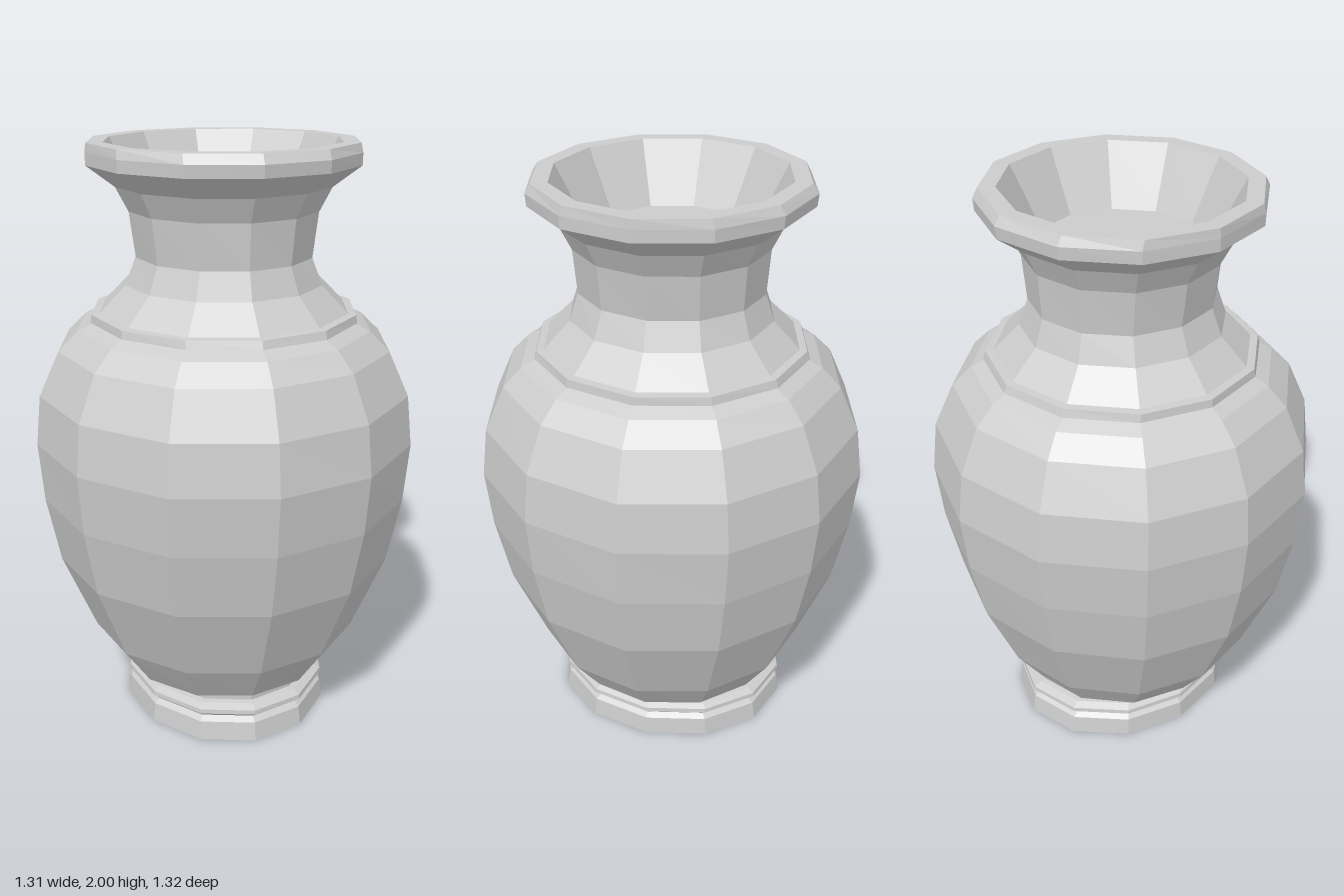
import * as THREE from 'three';

const SIDES = 12;

// Faceted ring stack: each row is [x radius, z radius, height], listed so faces point outward.
function ringStack(name, rows, material) {
  const lathe = new THREE.LatheGeometry(rows.map(([rx, , y]) => new THREE.Vector2(rx, y)), SIDES);
  const pos = lathe.attributes.position;
  for (let i = 0; i < pos.count; i++) {
    const [rx, rz] = rows[i % rows.length];
    if (rx > 0) pos.setZ(i, pos.getZ(i) * rz / rx);
  }
  const geometry = lathe.toNonIndexed();
  geometry.computeVertexNormals();
  const mesh = new THREE.Mesh(geometry, material);
  mesh.name = name;
  return mesh;
}

export function createModel() {
  const group = new THREE.Group();
  group.name = 'vase';
  const clay = new THREE.MeshStandardMaterial({ color: 0xcccccc, flatShading: true });
  clay.name = 'pale grey clay';

  group.add(
    // Oval foot with a closed underside, a thin groove and a moulded band
    ringStack('foot', [
      [0, 0, 0], [0.365, 0.428, 0], [0.357, 0.416, 0.065],
      [0.34, 0.395, 0.08], [0.345, 0.405, 0.09],
    ], clay),
    ringStack('footBand', [
      [0.345, 0.405, 0.09], [0.36, 0.42, 0.1], [0.358, 0.418, 0.115],
      [0.335, 0.39, 0.127], [0.308, 0.372, 0.13], [0.308, 0.372, 0.155],
    ], clay),
    // Swelling belly up to the shoulder
    ringStack('body', [
      [0.308, 0.372, 0.15], [0.372, 0.385, 0.155], [0.475, 0.48, 0.3], [0.59, 0.592, 0.575],
      [0.636, 0.641, 0.805], [0.653, 0.662, 1.01], [0.636, 0.64, 1.18],
      [0.567, 0.572, 1.33], [0.5, 0.508, 1.395], [0.44, 0.445, 1.425],
    ], clay),
    // Raised collar where the neck begins
    ringStack('shoulderCollar', [
      [0.44, 0.445, 1.42], [0.455, 0.465, 1.42], [0.452, 0.455, 1.447], [0.42, 0.425, 1.45],
    ], clay),
    ringStack('neck', [
      [0.425, 0.43, 1.45], [0.335, 0.342, 1.54], [0.298, 0.312, 1.63],
      [0.318, 0.323, 1.78], [0.36, 0.362, 1.86], [0.453, 0.456, 1.93],
    ], clay),
    // Thick rim, flat on top
    ringStack('lip', [
      [0.453, 0.456, 1.93], [0.453, 0.46, 1.97], [0.45, 0.44, 2], [0.395, 0.385, 2],
    ], clay),
    // Tapered mouth closed by a flat floor
    ringStack('mouth', [
      [0.395, 0.385, 2], [0.29, 0.282, 1.8], [0, 0, 1.8],
    ], clay),
  );
  return group;
}
